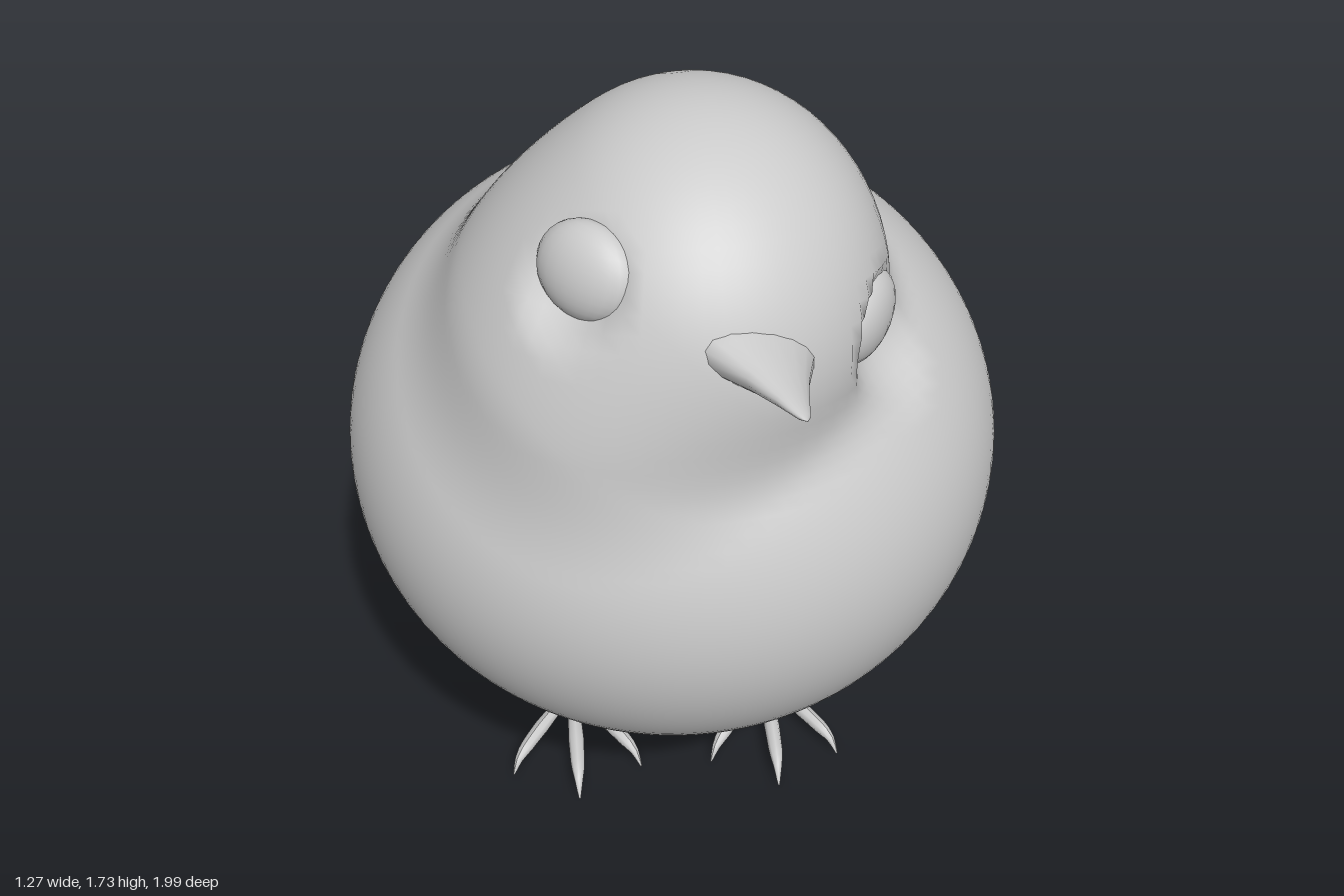
import * as THREE from 'three';

const V = (x, y, z) => new THREE.Vector3(x, y, z);
const grey = new THREE.MeshStandardMaterial({ color: 0xcccccc, side: THREE.DoubleSide });

function add(parent, name, geometry) {
  const mesh = new THREE.Mesh(geometry, grey);
  mesh.name = name;
  parent.add(mesh);
  return mesh;
}

// Turns a mesh so its local z axis points along dir, keeping local y near up
function aim(mesh, pos, dir, up = V(0, 1, 0)) {
  const z = dir.clone().normalize();
  const x = up.clone().cross(z).normalize();
  const y = z.clone().cross(x);
  mesh.quaternion.setFromRotationMatrix(new THREE.Matrix4().makeBasis(x, y, z));
  mesh.position.copy(pos);
  return mesh;
}

// Soft blobs (centre, radii) that melt together into belly, rump, cheek and head
const BLOBS = [
  [V(0, 0.88, 0.27), V(0.635, 0.57, 0.65)],
  [V(0.02, 0.78, -0.05), V(0.4, 0.4, 0.44)],
  [V(-0.1, 1.2, 0.44), V(0.35, 0.4, 0.41)],
  [V(0.02, 1.36, 0.47), V(0.345, 0.37, 0.38)],
];
const EYES = [
  { name: 'leftEye', pos: V(0.3, 1.355, 0.59), dir: V(0.83, -0.08, 0.5).normalize() },
  { name: 'rightEye', pos: V(-0.178, 1.538, 0.675), dir: V(-0.65, 0.3, 0.7).normalize() },
];

function smoothMin(a, b, k) {
  const h = Math.max(k - Math.abs(a - b), 0) / k;
  return Math.min(a, b) - h * h * k / 4;
}

// Signed distance to the plumage, with shallow hollows around the eyes
function field(p) {
  let d = Infinity;
  for (const [c, r] of BLOBS) {
    const q = p.clone().sub(c).divide(r);
    const k0 = q.length(), k1 = q.divide(r).length();
    const e = k0 * (k0 - 1) / Math.max(k1, 1e-6);
    d = d === Infinity ? e : smoothMin(d, e, 0.07);
  }
  for (const { pos, dir } of EYES) {
    const hollow = p.distanceTo(pos.clone().addScaledVector(dir, 0.15)) - 0.155;
    d = -smoothMin(-d, hollow, 0.03);
  }
  return d;
}

// Sphere whose vertices are pushed out to the plumage surface
function plumage() {
  const geo = new THREE.SphereGeometry(1, 96, 72);
  const pos = geo.attributes.position, nor = geo.attributes.normal;
  const centre = V(0, 0.98, 0.3), e = 0.004;
  for (let i = 0; i < pos.count; i++) {
    const ray = V().fromBufferAttribute(pos, i).normalize();
    let lo = 0.2, hi = 1.2;
    for (let s = 0; s < 20; s++) {
      const mid = (lo + hi) / 2;
      if (field(centre.clone().addScaledVector(ray, mid)) < 0) lo = mid;
      else hi = mid;
    }
    const p = centre.clone().addScaledVector(ray, lo);
    const slope = (x, y, z) => field(p.clone().add(V(x, y, z))) - field(p.clone().sub(V(x, y, z)));
    const n = V(slope(e, 0, 0), slope(0, e, 0), slope(0, 0, e)).normalize();
    pos.setXYZ(i, p.x, p.y, p.z);
    nor.setXYZ(i, n.x, n.y, n.z);
  }
  return geo;
}

// Tube along points with a radius that runs through the given list
function taperTube(points, radii, sides = 8) {
  const curve = new THREE.CatmullRomCurve3(points, false, 'centripetal');
  const steps = 14;
  const geo = new THREE.TubeGeometry(curve, steps, 1, sides);
  const pos = geo.attributes.position;
  for (let i = 0; i <= steps; i++) {
    const c = curve.getPointAt(i / steps);
    const f = i / steps * (radii.length - 1), a = Math.min(Math.floor(f), radii.length - 2);
    const r = THREE.MathUtils.lerp(radii[a], radii[a + 1], f - a);
    for (let j = 0; j <= sides; j++) {
      const k = i * (sides + 1) + j;
      const p = V().fromBufferAttribute(pos, k).sub(c).multiplyScalar(r).add(c);
      pos.setXYZ(k, p.x, p.y, p.z);
    }
  }
  geo.computeVertexNormals();
  return geo;
}

// Flat feather along +z, narrow at the root and rounded at the tip
function featherGeometry(length) {
  const s = new THREE.Shape();
  s.moveTo(-0.03, 0);
  s.lineTo(-0.098, length - 0.12);
  s.bezierCurveTo(-0.105, length - 0.02, -0.05, length, 0, length);
  s.bezierCurveTo(0.05, length, 0.105, length - 0.02, 0.098, length - 0.12);
  s.lineTo(0.03, 0);
  const geo = new THREE.ExtrudeGeometry(s, { depth: 0.014, bevelEnabled: false, curveSegments: 8 });
  return geo.rotateX(Math.PI / 2);
}

export function createModel() {
  const bird = new THREE.Group();
  bird.name = 'bird';
  add(bird, 'body', plumage());

  // Eyes
  for (const { name, pos, dir } of EYES) {
    const eye = add(bird, name, new THREE.SphereGeometry(1, 24, 16));
    eye.scale.set(0.1, 0.085, 0.05);
    aim(eye, pos, dir);
  }

  // Beak: flattened concave cone, rolled with the tilted head
  const profile = [[1.0, -0.06], [0.98, 0], [0.72, 0.05], [0.45, 0.11], [0.24, 0.17], [0.1, 0.215], [0, 0.23]];
  const beakGeo = new THREE.LatheGeometry(profile.map(([r, y]) => new THREE.Vector2(r, y)), 16);
  beakGeo.rotateX(Math.PI / 2);
  beakGeo.scale(0.128, 0.068, 1);
  const base = V(0.085, 1.438, 0.775), tip = V(0.14, 1.457, 0.99);
  aim(add(bird, 'beak', beakGeo), base, tip.clone().sub(base), V(0.36, 0.93, 0));

  // Tail: arched fan of five feathers
  const tail = new THREE.Group();
  tail.name = 'tail';
  bird.add(tail);
  const tips = [V(-0.29, 0.42, -0.84), V(-0.11, 0.385, -0.96), V(0.085, 0.375, -0.995),
    V(0.275, 0.385, -0.94), V(0.44, 0.42, -0.81)];
  tips.forEach((end, i) => {
    const side = i - 2;
    const root = V(0.06 + side * 0.035, 0.86 - Math.abs(side) * 0.012, -0.38);
    const dir = end.clone().sub(root);
    const feather = add(tail, 'tailFeather', featherGeometry(dir.length()));
    aim(feather, root, dir, V(side * 0.16, 0.8, -0.6));
  });

  // Short feathers covering the root of the tail
  const coverts = [[0.055, 0.93, -0.41, 0.09, 0.15, 0], [-0.08, 0.89, -0.385, 0.055, 0.11, -0.2],
    [0.19, 0.89, -0.385, 0.055, 0.11, 0.2]];
  for (const [x, y, z, w, l, lean] of coverts) {
    const covert = add(tail, 'tailCovert', new THREE.SphereGeometry(1, 16, 12));
    covert.scale.set(w, 0.04, l);
    aim(covert, V(x, y, z), V(lean, -0.78, -0.62), V(0, 0.62, -0.78));
  }

  // Legs and feet
  for (const [name, x] of [['leftLeg', 0.22], ['rightLeg', -0.215]]) {
    const leg = new THREE.Group();
    leg.name = name;
    leg.position.x = x;
    bird.add(leg);
    add(leg, 'thigh', taperTube([V(0, 0.4, 0.225), V(0, 0.24, 0.135)], [0.02, 0.016]));
    add(leg, 'knee', new THREE.SphereGeometry(0.018, 10, 8)).position.set(0, 0.24, 0.135);
    add(leg, 'shank', taperTube([V(0, 0.24, 0.135), V(0, 0.06, 0.195)], [0.016, 0.018]));
    add(leg, 'ankle', new THREE.SphereGeometry(0.024, 10, 8)).position.set(0, 0.055, 0.195);
    // Three toes forward, one back, each ending in a claw
    for (const [tx, tz] of [[-0.14, 0.39], [0, 0.47], [0.14, 0.39], [0, 0.05]]) {
      const at = (t, y) => V(tx * t, y, 0.195 + (tz - 0.195) * t);
      add(leg, 'toe', taperTube([at(0, 0.055), at(0.4, 0.053), at(0.75, 0.045), at(0.9, 0.035), at(1, 0.004)],
        [0.017, 0.014, 0.017, 0.015, 0.002]));
    }
  }
  return bird;
}
